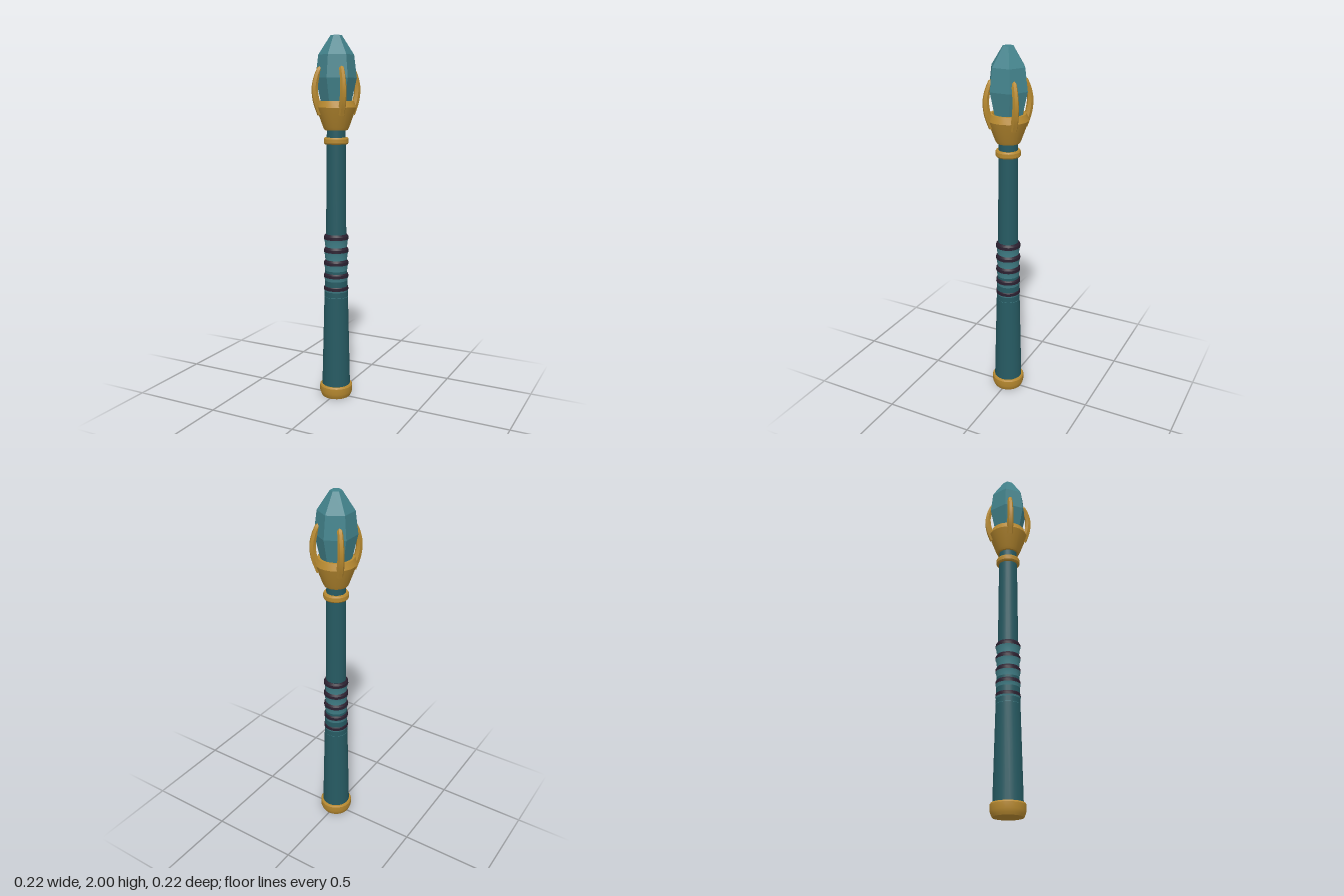
import * as THREE from 'three';
import { toCreasedNormals } from 'three/addons/utils/BufferGeometryUtils.js';

const material = (name, color) => {
  const m = new THREE.MeshStandardMaterial({ color });
  m.name = name;
  return m;
};

// Turned part from [radius, height] pairs listed bottom to top
function turned(name, profile, mat, sides = 24, crease = 0.5) {
  const points = profile.map(([r, y]) => new THREE.Vector2(r, y));
  const geometry = toCreasedNormals(new THREE.LatheGeometry(points, sides), crease);
  const mesh = new THREE.Mesh(geometry, mat);
  mesh.name = name;
  return mesh;
}

// Curved prong in the x-y plane, tapered and closed at its tip
function clawGeometry() {
  const path = new THREE.CatmullRomCurve3([
    [0.085, 1.59], [0.111, 1.66], [0.119, 1.73], [0.107, 1.79], [0.083, 1.845],
  ].map(([x, y]) => new THREE.Vector3(x, y, 0)));
  const steps = 14, sides = 6;
  const geometry = new THREE.TubeGeometry(path, steps, 0.021, sides);
  const pos = geometry.attributes.position;
  const v = new THREE.Vector3();
  for (let i = 0; i <= steps; i++) {
    const centre = path.getPointAt(i / steps);
    const scale = i === steps ? 0 : 1 - 0.35 * (i / steps);
    for (let j = 0; j <= sides; j++) {
      const k = i * (sides + 1) + j;
      v.fromBufferAttribute(pos, k).sub(centre).multiplyScalar(scale).add(centre);
      pos.setXYZ(k, v.x, v.y, v.z);
    }
  }
  return toCreasedNormals(geometry, 0.6);
}

export function createModel() {
  const shaftTeal = material('deep teal', 0x265a62);
  const lightTeal = material('light teal', 0x43838c);
  const gold = material('gold', 0xb88a30);
  const dark = material('dark plum', 0x2b2030);

  const model = new THREE.Group();
  model.name = 'sceptre';

  // Handle
  model.add(turned('pommel', [
    [0, 0], [0.08, 0], [0.086, 0.012], [0.092, 0.03], [0.092, 0.062], [0.087, 0.07], [0, 0.07],
  ], gold));
  model.add(turned('shaft', [
    [0.079, 0.06], [0.066, 0.58], [0.056, 0.9], [0.052, 1.43], [0.05, 1.53],
  ], shaftTeal));

  // Grip: flared bands, each topped by a dark sloping ring
  const grip = new THREE.Group();
  grip.name = 'grip';
  const pitch = 0.0715;
  for (let i = 0; i < 5; i++) {
    const top = 0.937 - i * pitch;
    const bottom = i === 4 ? 0.582 : top - pitch;
    grip.add(turned('gripBand', [
      [i === 4 ? 0.066 : 0.06, bottom], [0.064, top - 0.04], [0.068, top - 0.028],
    ], lightTeal));
    grip.add(turned('gripRing', [
      [0.068, top - 0.028], [0.067, top - 0.012], [0.059, top], [0.05, top],
    ], dark));
  }
  model.add(grip);

  // Neck ring and cup below the gem
  model.add(turned('neckRing', [
    [0.05, 1.43], [0.062, 1.43], [0.067, 1.437], [0.067, 1.458], [0.062, 1.466], [0.05, 1.466],
  ], gold));
  model.add(turned('cup', [
    [0, 1.505], [0.062, 1.505], [0.07, 1.52], [0.108, 1.625],
    [0.095, 1.66], [0.082, 1.66], [0.06, 1.6], [0, 1.6],
  ], gold));

  // Claws on the four diagonals
  const claw = clawGeometry();
  for (let i = 0; i < 4; i++) {
    const mesh = new THREE.Mesh(claw, gold);
    mesh.name = 'claw';
    mesh.rotation.y = Math.PI / 4 + i * Math.PI / 2;
    model.add(mesh);
  }

  // Six-sided gem
  model.add(turned('gem', [
    [0, 1.58], [0.065, 1.58], [0.11, 1.78], [0.095, 1.9], [0.03, 2], [0, 2],
  ], lightTeal, 6, 0.05));

  return model;
}
